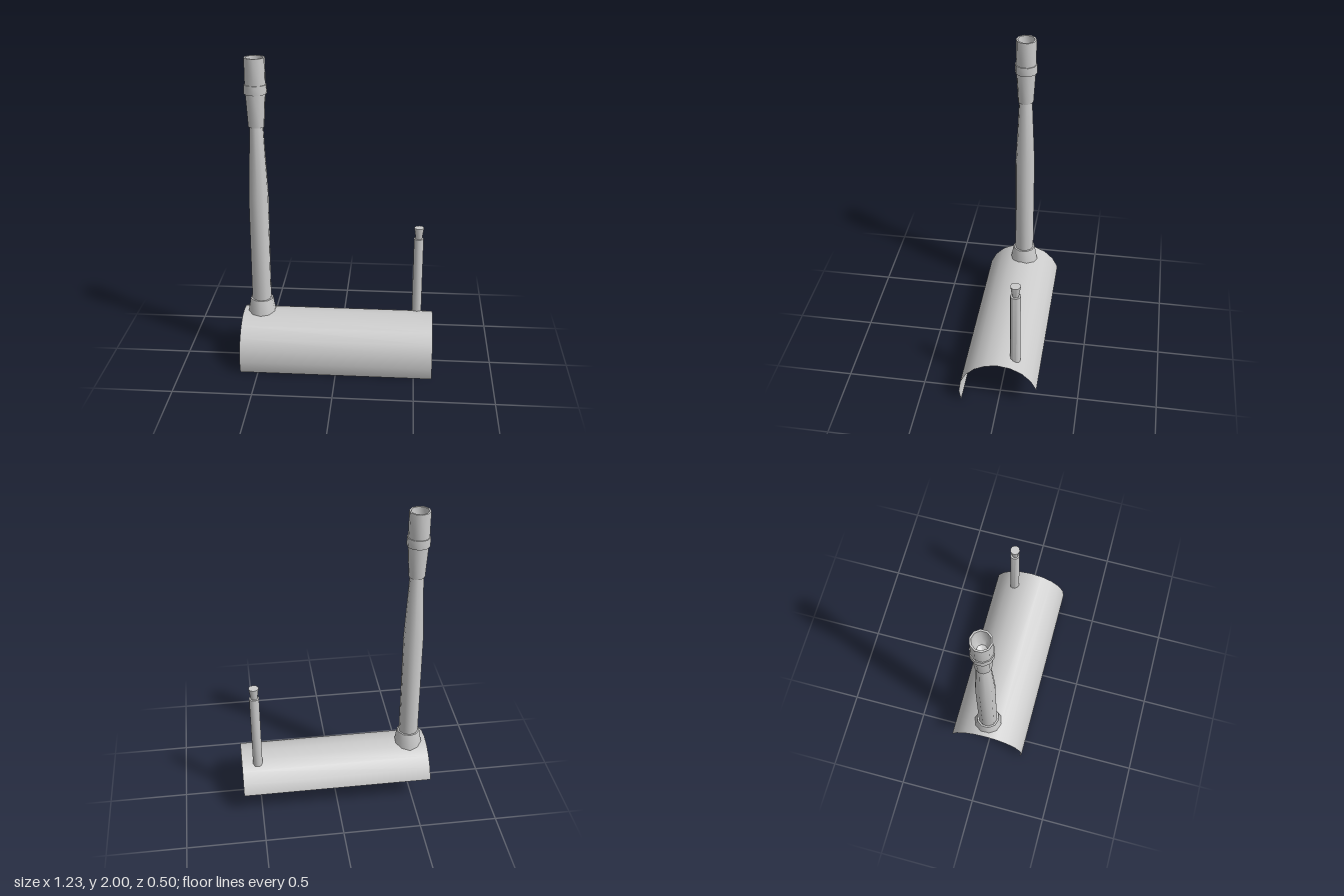
import * as THREE from 'three';
import { toCreasedNormals } from 'three/addons/utils/BufferGeometryUtils.js';

const SIDES = 10;
const material = new THREE.MeshStandardMaterial({ color: 0xcccccc, side: THREE.DoubleSide });

// Ten-sided turned part; profile is [radius, height] pairs from bottom to top
function turned(name, profile) {
  const points = profile.map(([r, y]) => new THREE.Vector2(r, y));
  const geometry = toCreasedNormals(new THREE.LatheGeometry(points, SIDES), 0.7);
  const mesh = new THREE.Mesh(geometry, material);
  mesh.name = name;
  return mesh;
}

export function createModel() {
  const model = new THREE.Group();
  model.name = 'pipesOnCurvedPanel';

  // Thin half-round panel along x, tilted so its front edge is lower
  const panelGeometry = new THREE.CylinderGeometry(0.254, 0.254, 1.23, SIDES, 1, true, -0.32, Math.PI);
  panelGeometry.rotateZ(Math.PI / 2);
  const panel = new THREE.Mesh(panelGeometry, material);
  panel.name = 'curvedPanel';
  panel.position.set(0, 0.08, -0.004);
  model.add(panel);

  // Tall pipe
  const tallPipe = new THREE.Group();
  tallPipe.name = 'tallPipe';
  tallPipe.position.set(-0.498, 0, -0.016);
  tallPipe.add(
    turned('baseCollar', [[0.094, 0.305], [0.074, 0.42], [0.062, 0.42]]),
    turned('column', [[0.063, 0.42], [0.063, 1.13], [0.042, 1.58]]),
    turned('sleeve', [[0.042, 1.575], [0.05, 1.575], [0.062, 1.785]]),
    turned('ring', [[0.062, 1.78], [0.07, 1.78], [0.07, 1.837], [0.062, 1.837]]),
    // Hollow muzzle: outer wall, rim, then down the inside
    turned('hollowTop', [[0.064, 1.837], [0.064, 2], [0.053, 2], [0.048, 1.9], [0.03, 1.85], [0, 1.835]])
  );
  model.add(tallPipe);

  // Short post with flared cap
  const shortPost = new THREE.Group();
  shortPost.name = 'shortPost';
  shortPost.position.set(0.512, 0, -0.098);
  shortPost.add(
    turned('post', [[0.032, 0.3], [0.032, 0.83], [0, 0.83]]),
    turned('flaredCap', [[0.021, 0.83], [0.032, 0.905], [0, 0.905]])
  );
  model.add(shortPost);

  return model;
}
